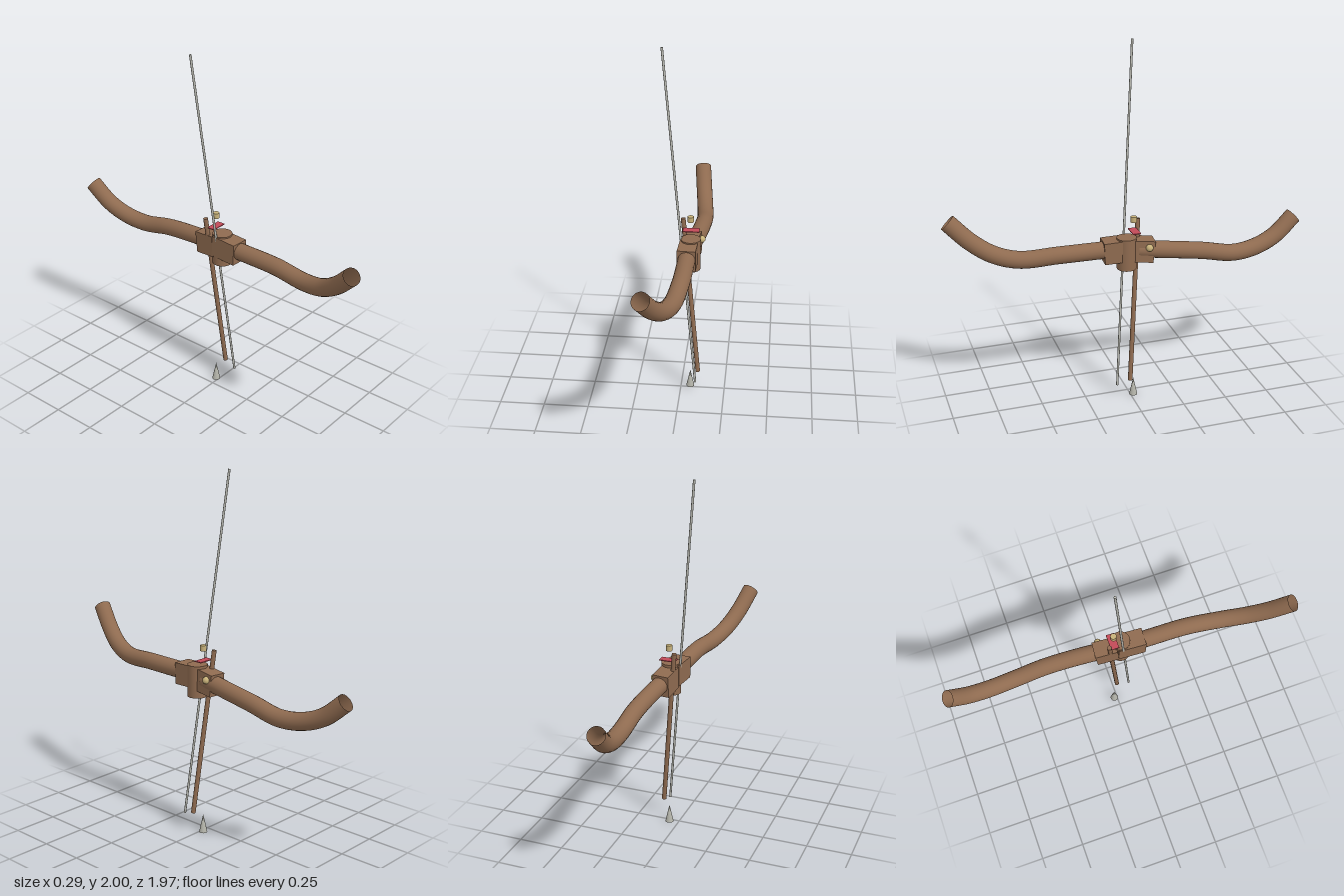
import * as THREE from 'three';

const V = (x, y, z) => new THREE.Vector3(x, y, z);

function material(name, color, side = THREE.FrontSide) {
  const m = new THREE.MeshStandardMaterial({ color, side });
  m.name = name;
  return m;
}

export function createModel() {
  const group = new THREE.Group();
  const wood = material('brown wood', 0x8f6b50, THREE.DoubleSide);
  const cord = material('grey cord', 0xb8b8b0);
  const steel = material('pale steel', 0xb4b4aa);
  const brass = material('tan brass', 0xc8b27a);
  const red = material('red feather', 0xc24a58);

  function add(name, geometry, mat, x = 0, y = 0, z = 0) {
    const mesh = new THREE.Mesh(geometry, mat);
    mesh.name = name;
    mesh.position.set(x, y, z);
    group.add(mesh);
    return mesh;
  }

  // straight round rod between two points
  function rod(name, a, b, radius, mat) {
    const d = b.clone().sub(a);
    const mesh = add(name, new THREE.CylinderGeometry(radius, radius, d.length(), 12), mat);
    mesh.position.copy(a).add(b).multiplyScalar(0.5);
    mesh.quaternion.setFromUnitVectors(V(0, 1, 0), d.normalize());
  }

  // curved open-ended limb
  function limb(name, points) {
    const curve = new THREE.CatmullRomCurve3(points);
    add(name, new THREE.TubeGeometry(curve, 40, 0.047, 20, false), wood);
  }

  limb('frontLimb', [
    V(0.045, 0.905, 0.05), V(0.042, 0.905, 0.2), V(0.036, 0.905, 0.4), V(0.012, 0.897, 0.6),
    V(-0.022, 0.93, 0.73), V(-0.06, 1.0, 0.84), V(-0.1, 1.108, 0.95),
  ]);
  limb('backLimb', [
    V(0.055, 0.893, -0.04), V(0.075, 0.876, -0.2), V(0.091, 0.85, -0.4), V(0.092, 0.815, -0.58),
    V(0.08, 0.828, -0.72), V(0.066, 0.876, -0.84), V(0.05, 0.972, -0.955),
  ]);

  // stock: two blocks meeting at an upright hub
  const frontBlock = add('frontBlock', new THREE.BoxGeometry(0.1, 0.12, 0.155), wood, 0.045, 0.9, 0.075);
  frontBlock.rotation.set(0.03, -0.05, 0);
  const backBlock = add('backBlock', new THREE.BoxGeometry(0.092, 0.122, 0.125), wood, 0.053, 0.888, -0.062);
  backBlock.rotation.set(-0.11, -0.1, 0);
  add('hub', new THREE.CylinderGeometry(0.054, 0.054, 0.178, 24), wood, 0.055, 0.879, 0.023);

  rod('shaft', V(0.098, 0.12, 0.016), V(0.007, 1.05, -0.056), 0.013, wood);
  rod('string', V(0.089, 0.095, 0.089), V(-0.103, 2, -0.059), 0.0065, cord);

  // separate fittings along the upright line
  add('tip', new THREE.ConeGeometry(0.023, 0.105, 16), steel, 0.053, 0.0525, -0.017);
  add('nock', new THREE.CylinderGeometry(0.017, 0.017, 0.031, 16), brass, 0.051, 1.065, -0.018);
  add('feather', new THREE.BoxGeometry(0.09, 0.005, 0.045), red, 0.054, 0.997, -0.022);
  add('knob', new THREE.SphereGeometry(0.02, 20, 14), brass, 0.107, 0.912, -0.09);

  return group;
}
